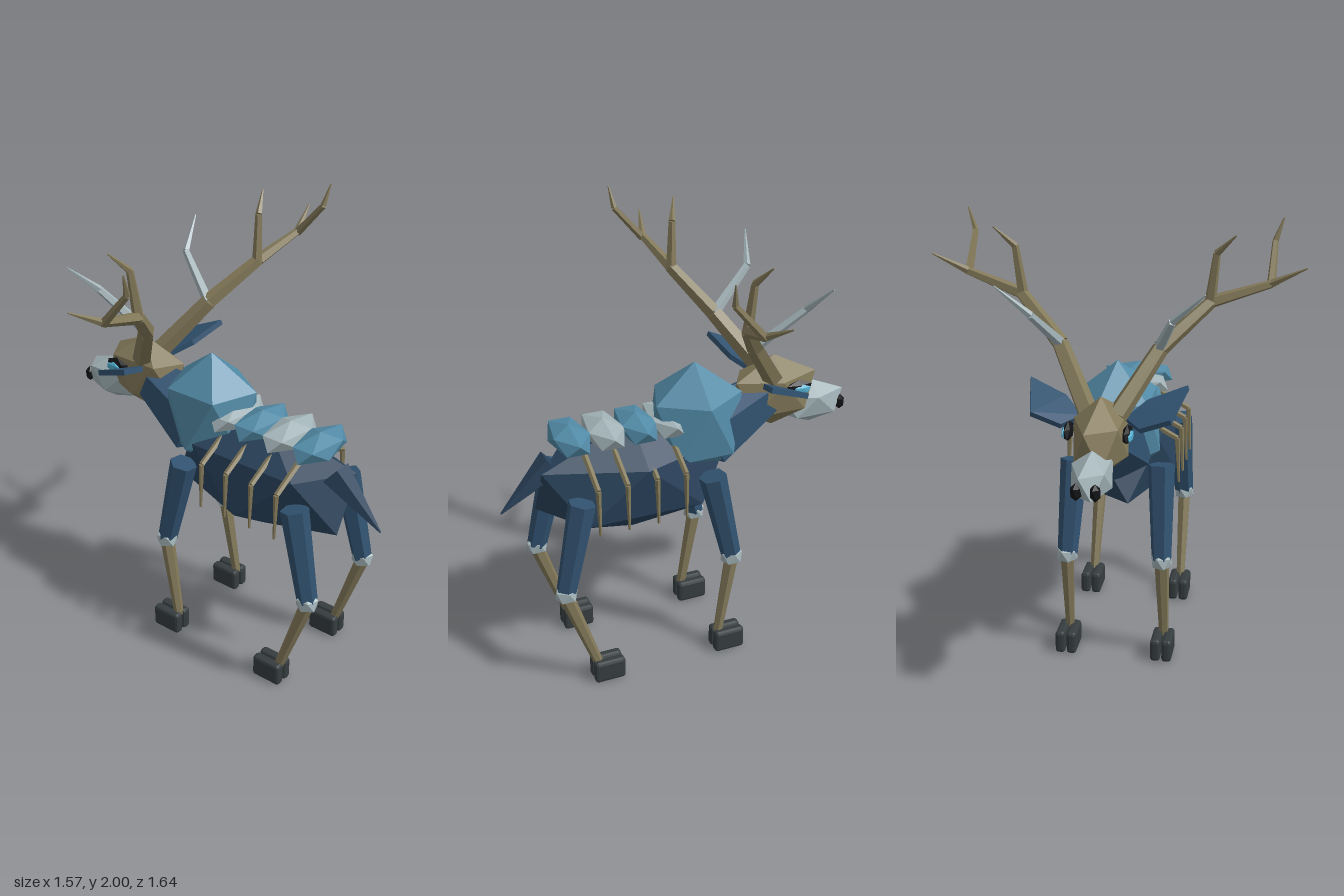
import * as THREE from 'three';
import { ConvexGeometry } from 'three/addons/geometries/ConvexGeometry.js';
import { RoundedBoxGeometry } from 'three/addons/geometries/RoundedBoxGeometry.js';

const mat = (color) => new THREE.MeshStandardMaterial({ color, flatShading: true });
const V = (p) => new THREE.Vector3(...p);

export function createModel() {
  const root = new THREE.Group();
  const hide = mat(0x2a435c), fur = mat(0x315270), blue = mat(0x528aa6);
  const bone = mat(0x847a5a), pale = mat(0xa3b4b8), hoofMat = mat(0x363d3f);
  const black = mat(0x121316), iris = mat(0x52b0d0);

  const add = (parent, name, geometry, material) => {
    const m = new THREE.Mesh(geometry, material);
    m.name = name;
    parent.add(m);
    return m;
  };
  const group = (name, parent = root) => {
    const g = new THREE.Group();
    g.name = name;
    parent.add(g);
    return g;
  };

  // Stretched icosahedron standing on a corner: two poles and two rings of five
  const gem = (parent, name, c, r, material) => {
    const pts = [new THREE.Vector3(0, 1, 0), new THREE.Vector3(0, -1, 0)];
    const h = Math.sqrt(0.2), w = 2 * h;
    for (let i = 0; i < 5; i++) {
      const a = (i * Math.PI * 2) / 5, b = a + Math.PI / 5;
      pts.push(new THREE.Vector3(w * Math.cos(a), h, w * Math.sin(a)));
      pts.push(new THREE.Vector3(w * Math.cos(b), -h, w * Math.sin(b)));
    }
    const m = add(parent, name, new ConvexGeometry(pts.map((p) => p.multiply(V(r)))), material);
    m.position.set(...c);
    return m;
  };

  // Tapered rod from a to b
  const rod = (parent, name, a, b, ra, rb, material, sides = 6) => {
    const d = V(b).sub(V(a));
    const m = add(parent, name, new THREE.CylinderGeometry(rb, ra, d.length(), sides), material);
    m.position.copy(V(a)).addScaledVector(d, 0.5);
    m.quaternion.setFromUnitVectors(new THREE.Vector3(0, 1, 0), d.normalize());
    return m;
  };
  // Chain of rods through points [x, y, z, radius], mirrored by s
  const chain = (parent, name, s, pts, material, sides = 5) => {
    for (let i = 1; i < pts.length; i++) {
      const [p, q] = [pts[i - 1], pts[i]];
      rod(parent, name, [s * p[0], p[1], p[2]], [s * q[0], q[1], q[2]], p[3], q[3], material, sides);
    }
  };

  // Trunk, shoulder hump, neck and tail
  gem(root, 'body', [0, 0.9, 0.215], [0.245, 0.27, 0.51], hide);
  gem(root, 'shoulderHump', [0, 1.11, -0.085], [0.21, 0.28, 0.24], blue);
  rod(root, 'neck', [0, 1.03, -0.13], [0, 1.19, -0.46], 0.175, 0.1, fur);
  rod(root, 'tail', [0, 1.03, 0.58], [0, 0.83, 0.82], 0.07, 0.004, hide, 5);

  // Back plates and the ribs beneath them
  [0.06, 0.195, 0.345, 0.5].forEach((z, i) =>
    gem(root, 'backPlate', [0, 1.14, z], [0.18, 0.06, 0.095], i % 2 ? blue : pale));
  const ribs = group('ribs');
  for (const z of [0.057, 0.19, 0.325, 0.457]) {
    for (const s of [1, -1]) {
      chain(ribs, 'rib', s,
        [[0.08, 1.08, z, 0.014], [0.245, 0.99, z, 0.013], [0.255, 0.78, z, 0.006]], bone);
    }
  }

  // Head
  const head = group('head');
  gem(head, 'skull', [0, 1.185, -0.47], [0.125, 0.173, 0.23], bone);
  gem(head, 'muzzle', [0, 1.095, -0.665], [0.092, 0.105, 0.18], pale);

  for (const s of [1, -1]) {
    gem(head, 'nostril', [s * 0.038, 1.08, -0.8], [0.025, 0.038, 0.024], black);
    gem(head, 'eye', [s * 0.12, 1.23, -0.54], [0.02, 0.042, 0.07], black);
    gem(head, 'iris', [s * 0.134, 1.227, -0.55], [0.012, 0.025, 0.046], iris);

    // Thin leaf-shaped ear, swept up and back
    const ear = [[0.09, 1.255, -0.42], [0.16, 1.24, -0.5], [0.285, 1.285, -0.5],
      [0.33, 1.368, -0.3], [0.17, 1.31, -0.34]];
    const earPts = ear.flatMap(([x, y, z]) =>
      [new THREE.Vector3(s * x, y, z), new THREE.Vector3(s * (x + 0.005), y - 0.022, z + 0.008)]);
    add(head, 'ear', new ConvexGeometry(earPts), fur);

    // Antler: main beam, two upper tines and a pale brow tine
    const antler = group('antler', head);
    chain(antler, 'beam', s, [[0.06, 1.27, -0.44, 0.045], [0.21, 1.51, -0.27, 0.037],
      [0.4, 1.68, -0.14, 0.028], [0.64, 1.755, -0.1, 0.018], [0.785, 1.835, -0.14, 0.003]], bone);
    chain(antler, 'innerTine', s, [[0.395, 1.67, -0.14, 0.025], [0.42, 1.885, -0.155, 0.016],
      [0.5, 1.97, -0.195, 0.003]], bone);
    chain(antler, 'outerTine', s, [[0.64, 1.75, -0.1, 0.019], [0.643, 1.905, 0.035, 0.014],
      [0.675, 2.0, 0.05, 0.003]], bone);
    chain(antler, 'browTine', s, [[0.205, 1.51, -0.27, 0.025], [0.285, 1.68, -0.465, 0.017],
      [0.415, 1.805, -0.515, 0.003]], pale);

    // Legs: hip z, knee z, ankle z, hoof z
    const legs = [['frontLeg', -0.09, -0.18, -0.115, -0.16], ['rearLeg', 0.515, 0.61, 0.475, 0.432]];
    for (const [name, hip, knee, ankle, hoof] of legs) {
      const leg = group(name);
      rod(leg, 'upperLeg', [s * 0.195, 0.92, hip], [s * 0.213, 0.5, knee], 0.062, 0.045, fur);
      gem(leg, 'knee', [s * 0.215, 0.495, knee], [0.052, 0.05, 0.056], pale);
      rod(leg, 'lowerLeg', [s * 0.215, 0.48, knee], [s * 0.22, 0.09, ankle], 0.033, 0.022, bone);
      for (const x of [0.194, 0.246]) {
        const toe = add(leg, 'hoof', new RoundedBoxGeometry(0.045, 0.105, 0.145, 1, 0.014), hoofMat);
        toe.position.set(s * x, 0.0575, hoof);
      }
    }
  }
  // Rest the hooves on the ground
  root.children.forEach((c) => { c.position.y -= 0.003; });
  return root;
}
